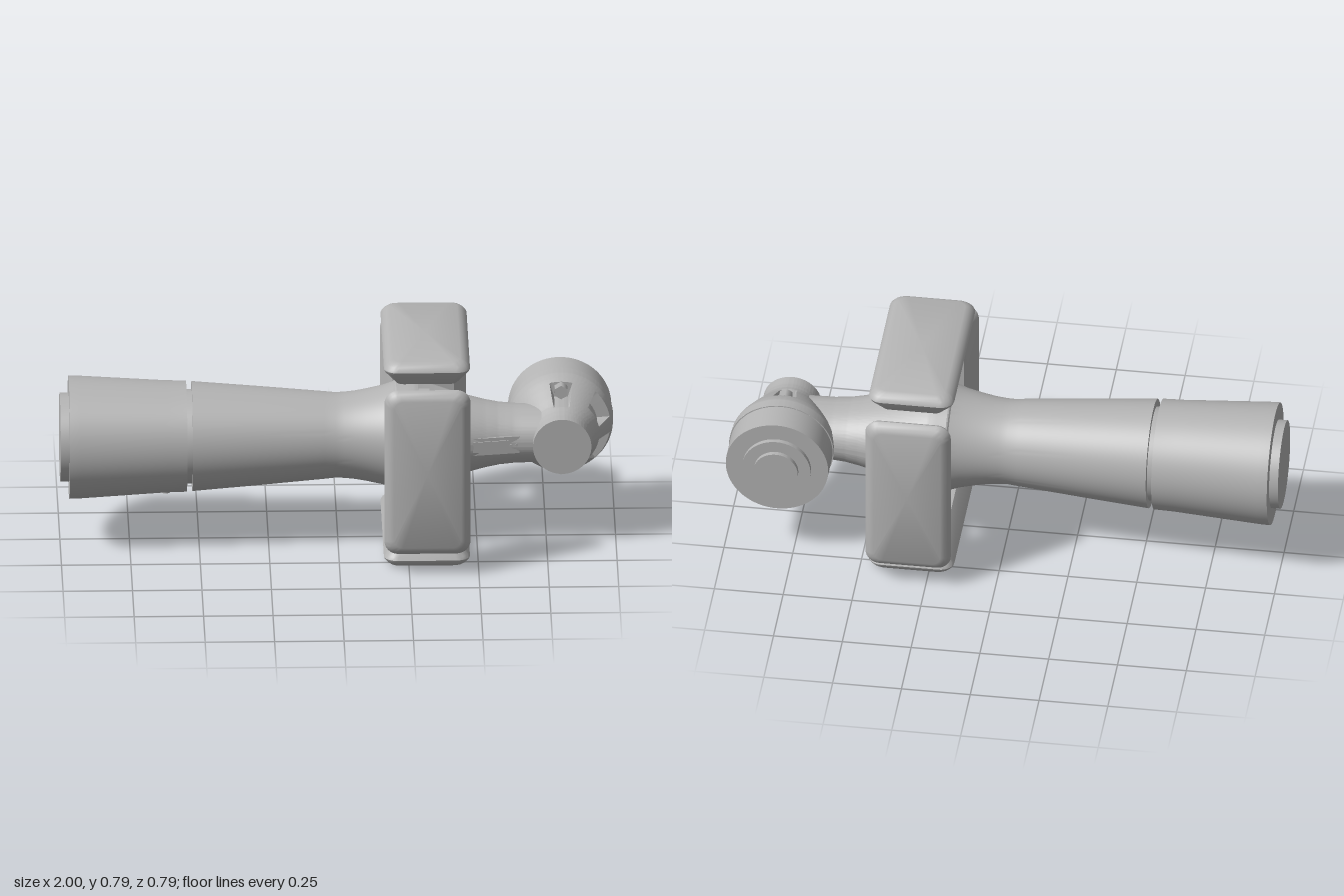
import * as THREE from 'three';
import { toCreasedNormals } from 'three/addons/utils/BufferGeometryUtils.js';

const gray = new THREE.MeshStandardMaterial({ color: 0xb4b4b4 });
gray.name = 'light gray';
const AXIS_Y = 0.397;

function part(name, geometry, x = 0, y = 0, z = 0) {
  const mesh = new THREE.Mesh(geometry, gray);
  mesh.name = name;
  mesh.position.set(x, y, z);
  return mesh;
}

// Turned solid along +y, listed as [radius, height] from bottom to top.
function turned(points, segments = 96) {
  const pts = points.map(([r, h]) => new THREE.Vector2(r, h));
  return toCreasedNormals(new THREE.LatheGeometry(pts, segments), 0.4);
}

// Skin over closed rings of equal point count.
function loft(rings) {
  const n = rings[0].length, pos = [], index = [];
  rings.forEach(ring => ring.forEach(p => pos.push(p.x, p.y, p.z)));
  for (let i = 0; i < rings.length - 1; i++) {
    for (let j = 0; j < n; j++) {
      const a = i * n + j, b = i * n + (j + 1) % n;
      index.push(a, b, b + n, a, b + n, a + n);
    }
  }
  const g = new THREE.BufferGeometry();
  g.setAttribute('position', new THREE.Float32BufferAttribute(pos, 3));
  g.setIndex(index);
  return toCreasedNormals(g, 0.5);
}

function sample(profile, t) {
  for (let i = 1; i < profile.length; i++) {
    const [t0, r0] = profile[i - 1], [t1, r1] = profile[i];
    if (t <= t1) return r0 + (r1 - r0) * (t - t0) / (t1 - t0);
  }
  return profile[profile.length - 1][1];
}

// Tapered joint housing along +z; pockets are {angle, half, from, to, floor} in degrees and units.
function housing(profile, pockets, widen = 0) {
  const end = profile[profile.length - 1][0];
  const ts = profile.map(p => p[0]);
  for (let i = 1; i < 30; i++) ts.push(end * i / 30);
  pockets.forEach(p => ts.push(p.from - 0.001, p.from + 0.001, p.to - 0.001, p.to + 0.001));
  ts.sort((a, b) => a - b);
  const ring = (t, scale) => {
    const pts = [];
    for (let d = 0; d < 360; d += 2) {
      let r = sample(profile, t);
      for (const p of pockets) {
        const off = Math.abs(((d - p.angle + 540) % 360) - 180);
        if (off <= p.half && t > p.from && t < p.to) r = Math.min(r, p.floor);
      }
      const a = THREE.MathUtils.degToRad(d);
      const x = r * Math.cos(a) * scale;
      const k = x > 0 ? 1 + widen * t / end : 1 + 0.25 * widen * t / end;
      pts.push(new THREE.Vector3(x * k, r * Math.sin(a) * scale, t));
    }
    return pts;
  };
  return loft([...ts.map(t => ring(t, 1)), ring(end, 0)]);
}

function roundedRing(hx, hy, radius, z) {
  const pts = [];
  [[1, 1], [-1, 1], [-1, -1], [1, -1]].forEach(([sx, sy], q) => {
    for (let i = 0; i <= 8; i++) {
      const a = (q + i / 8) * Math.PI / 2;
      pts.push(new THREE.Vector3(
        sx * (hx - radius) + radius * Math.cos(a),
        sy * (hy - radius) + radius * Math.sin(a), z));
    }
  });
  return pts;
}

// Bumper pad facing +z with four socket bolts on its inner face.
function createPad(name) {
  const pad = new THREE.Group();
  pad.name = name;
  const steps = [[0, 0.045], [0.05, 0.004], [0.06, 0], [0.068, 0.003], [0.077, 0.01], [0.086, 0.02], [0.092, 0.034]];
  const rings = steps.map(([z, inset]) => roundedRing(0.155 - inset, 0.317 - inset, 0.05 - inset * 0.5, z));
  const centre = z => rings[0].map(() => new THREE.Vector3(0, 0, z));
  pad.add(part('padBody', loft([centre(0), ...rings, centre(0.092)]), 0, 0, 0.304));
  const bolt = turned([[0.025, 0], [0.02, 0.013], [0.012, 0.013], [0.011, 0.003], [0, 0.003]], 24);
  bolt.rotateX(-Math.PI / 2);
  for (const x of [-0.04, 0.04]) for (const y of [-0.04, 0.04]) {
    pad.add(part('padBolt', bolt, x, y, 0.304));
  }
  return pad;
}

function addJointBolts(group, radius, z) {
  for (const side of [-1, 1]) {
    const head = new THREE.CylinderGeometry(0.026, 0.026, 0.04, 6).toNonIndexed();
    head.rotateX(Math.PI / 2);
    group.add(part('jointBolt', head, 0, side * radius, z));
  }
}

export function createModel() {
  const model = new THREE.Group();
  model.name = 'roboticArm';

  // Base, seam groove and flaring forearm
  const arm = turned([
    [0, -1], [0.16, -1], [0.16, -0.968], [0.222, -0.968], [0.221, -0.93], [0.202, -0.62], [0.2, -0.545],
    [0.17, -0.545], [0.17, -0.525], [0.198, -0.525], [0.178, -0.28], [0.158, -0.05], [0.154, -0.01],
    [0.155, 0.02], [0.159, 0.06], [0.166, 0.1], [0.179, 0.16], [0.192, 0.2], [0.198, 0.205], [0.2, 0.21],
  ]);
  arm.rotateZ(-Math.PI / 2);
  model.add(part('baseAndForearm', arm, 0, AXIS_Y, 0));
  for (const x of [-0.71, -0.62]) {
    model.add(part('baseScrew', new THREE.CylinderGeometry(0.016, 0.016, 0.03, 20), x, 0.2, 0.01));
  }

  // Elbow housing narrowing to the neck
  const elbow = new THREE.Group();
  elbow.name = 'elbow';
  const elbowPockets = [28, -28, 152, 208].map(angle => ({ angle, half: 17, from: 0.075, to: 0.165, floor: 0.14 }));
  for (const angle of [90, 270]) elbowPockets.push({ angle, half: 12, from: 0.08, to: 0.2, floor: 0.13 });
  elbow.add(part('elbowHousing', housing(
    [[0, 0.2], [0.06, 0.198], [0.1, 0.188], [0.16, 0.168], [0.22, 0.147], [0.27, 0.133],
      [0.32, 0.12], [0.37, 0.11], [0.43, 0.104], [0.54, 0.102]], elbowPockets, 0.42)));
  addJointBolts(elbow, 0.15, 0.1);
  elbow.rotation.y = Math.PI / 2;
  elbow.position.set(0.21, AXIS_Y, 0);
  model.add(elbow);

  // Cover plate on the front of the neck
  const plate = new THREE.Group();
  plate.name = 'neckPlate';
  plate.add(part('plateBody', new THREE.BoxGeometry(0.18, 0.065, 0.03)));
  plate.add(part('plateInset', new THREE.BoxGeometry(0.13, 0.04, 0.006), -0.015, 0, 0.016));
  for (const x of [0.06, 0.08]) {
    const screw = new THREE.CylinderGeometry(0.005, 0.005, 0.006, 12).rotateX(Math.PI / 2);
    plate.add(part('plateScrew', screw, x, 0, 0.016));
  }
  plate.position.set(0.56, AXIS_Y, 0.108);
  plate.rotation.y = 0.15;
  model.add(plate);

  // Wrist housing facing the front
  const wrist = new THREE.Group();
  wrist.name = 'wrist';
  const wristPockets = [28, -28].map(angle => ({ angle, half: 17, from: 0.075, to: 0.16, floor: 0.132 }));
  for (const angle of [90, 270]) wristPockets.push({ angle, half: 12, from: 0.09, to: 0.2, floor: 0.118 });
  wrist.add(part('wristHousing', housing(
    [[0, 0.19], [0.045, 0.188], [0.075, 0.178], [0.11, 0.162], [0.155, 0.14], [0.19, 0.122],
      [0.22, 0.111], [0.25, 0.106], [0.29, 0.105]], wristPockets)));
  addJointBolts(wrist, 0.146, 0.11);
  wrist.position.set(0.805, AXIS_Y, -0.155);
  model.add(wrist);

  // Tool flange behind the wrist
  const flange = turned([
    [0, -0.302], [0.08, -0.302], [0.08, -0.285], [0.124, -0.285], [0.124, -0.268],
    [0.186, -0.268], [0.186, -0.155], [0.19, -0.155],
  ]);
  flange.rotateX(Math.PI / 2);
  model.add(part('toolFlange', flange, 0.805, AXIS_Y, 0));

  // Four bumper pads around the elbow
  ['frontPad', 'bottomPad', 'backPad', 'topPad'].forEach((name, i) => {
    const pad = createPad(name);
    pad.position.set(0.315, AXIS_Y, 0);
    pad.rotation.x = i * Math.PI / 2;
    model.add(pad);
  });
  return model;
}
